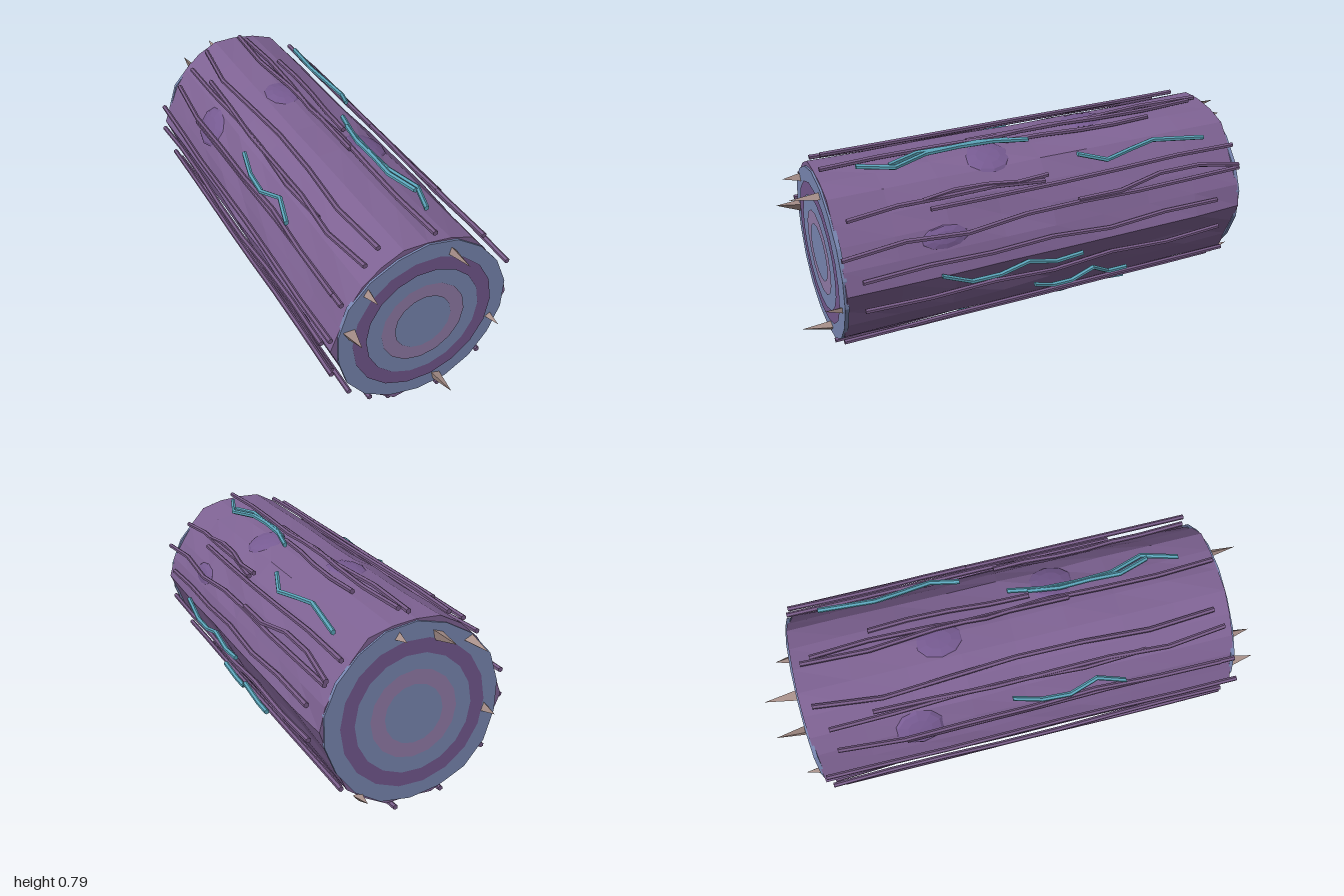
import * as THREE from 'three';

const CY = 0.393;          // height of the log's axis
const HALF = 0.865;        // half length of the bark
const COLORS = { bark: 0x7f6394, strip: 0x785c88, vine: 0x5aa3b8, wood: 0x7987b2, ring: 0x74598f, innerRing: 0x927ca9, knot: 0x775b92, splinter: 0xa8908a };

const mats = {};
for (const k in COLORS) mats[k] = new THREE.MeshStandardMaterial({ color: COLORS[k], flatShading: true });

// small seeded random in -1..1
let seed = 7;
const rnd = () => {
  seed = (seed * 16807) % 2147483647;
  return (seed / 2147483647) * 2 - 1;
};

function add(parent, name, geometry, material) {
  const mesh = new THREE.Mesh(geometry, material);
  mesh.name = name;
  parent.add(mesh);
  return mesh;
}

// Cylinder along z whose vertices are moved by rule(vertex, section index)
function shapedBar(radius, length, sides, sections, rule) {
  const g = new THREE.CylinderGeometry(radius, radius, length, sides, sections).rotateX(Math.PI / 2);
  const p = g.attributes.position;
  const v = new THREE.Vector3();
  for (let i = 0; i < p.count; i++) {
    v.fromBufferAttribute(p, i);
    rule(v, Math.round((v.z / length + 0.5) * sections));
    p.setXYZ(i, v.x, v.y, v.z);
  }
  g.computeVertexNormals();
  return g;
}

// Bark: uneven radii every 15 degrees, varied a little along the length
const RADII = [0.37, 0.35, 0.343, 0.351, 0.366, 0.36, 0.362, 0.366, 0.358, 0.353, 0.347, 0.347,
  0.368, 0.35, 0.34, 0.344, 0.35, 0.368, 0.345, 0.367, 0.353, 0.358, 0.346, 0.344];
function makeBark() {
  const sides = RADII.length, sections = 8;
  const noise = Array.from({ length: (sections + 1) * sides }, () => rnd() * 0.006);
  return shapedBar(1, HALF * 2, sides, sections, (v, s) => {
    if (Math.hypot(v.x, v.y) < 0.5) return;
    const k = (Math.round(Math.atan2(v.y, v.x) / (Math.PI * 2) * sides) + sides) % sides;
    const r = RADII[k] + noise[s * sides + k];
    v.x *= r;
    v.y *= r;
  });
}

// Strip lying on the bark; offsets shift each section sideways around the log
function makeStrip(x, y, z0, z1, offsets, radius) {
  const a = Math.atan2(y - CY, x);
  const g = shapedBar(radius, z1 - z0, 6, offsets.length - 1, (v, s) => {
    v.x += x - Math.sin(a) * offsets[s];
    v.y += y + Math.cos(a) * offsets[s];
  });
  return g.translate(0, 0, (z0 + z1) / 2);
}

export function createModel() {
  seed = 7;
  const model = new THREE.Group();
  model.name = 'log';

  add(model, 'bark', makeBark(), mats.bark).position.y = CY;

  // Cut ends with growth rings
  for (const side of [1, -1]) {
    const end = new THREE.Group();
    end.name = side > 0 ? 'frontEnd' : 'backEnd';
    end.position.set(0, CY, side * HALF);
    if (side < 0) end.rotation.y = Math.PI;
    const disc = shapedBar(0.352, 0.016, 18, 1, (v) => {
      const k = 1 + 0.012 * Math.sin(Math.atan2(v.y, v.x) * 5 + side);
      v.x *= k;
      v.y *= k;
    });
    add(end, 'cutFace', disc, mats.wood);
    add(end, 'outerRing', new THREE.RingGeometry(0.235, 0.291, 18), mats.ring).position.z = 0.011;
    add(end, 'innerRing', new THREE.RingGeometry(0.117, 0.174, 16), mats.innerRing).position.z = 0.011;
    model.add(end);
  }

  // Bark strips: x, y, z from, z to, sideways wander
  const strips = [
    [0.015, 0.769, -0.83, 0.25, 0.016], [0.035, 0.768, -0.79, 0.85, 0.016], [0.085, 0.757, -0.55, 0.1, 0.012],
    [-0.17, 0.73, -0.82, 0.8, 0.02], [-0.235, 0.695, -0.6, 0.83, 0.015], [-0.25, 0.68, -0.78, 0.5, 0.02],
    [-0.322, 0.605, -0.77, 0.8, 0.02], [-0.33, 0.588, -0.5, 0.86, 0.015],
    [-0.376, 0.48, -0.85, 0.88, 0.03], [-0.386, 0.393, -0.84, 0.82, 0.02], [-0.363, 0.275, -0.8, 0.85, 0.025],
    [-0.305, 0.165, -0.85, 0.75, 0.022], [-0.282, 0.135, -0.7, 0.85, 0.018], [-0.215, 0.087, -0.8, 0.86, 0.025],
    [-0.12, 0.034, -0.86, 0.85, 0.025], [0.015, 0.02, -0.8, 0.84, 0.018], [0.08, 0.026, -0.88, 0.87, 0.018],
    [0.275, 0.142, -0.86, 0.87, 0.014], [0.25, 0.118, -0.8, 0.6, 0.012], [0.36, 0.305, -0.77, 0.8, 0.015],
    [0.362, 0.44, -0.75, 0.8, 0.012], [0.348, 0.555, -0.86, 0.87, 0.018], [0.33, 0.592, -0.86, -0.1, 0.02],
    [0.268, 0.66, 0.02, 0.82, 0.014], [0.25, 0.68, 0, 0.52, 0.02], [0.278, 0.65, -0.86, 0.5, 0.014],
  ];
  for (const [x, y, z0, z1, w] of strips) {
    const n = Math.max(4, Math.round((z1 - z0) * 4));
    const offsets = Array.from({ length: n + 1 }, () => rnd() * w);
    add(model, 'barkStrip', makeStrip(x, y, z0, z1, offsets, 0.0105), mats.strip);
  }

  // Teal vines: x, y, z from, z to, sideways offsets
  const vines = [
    [0.385, 0.373, -0.1, 0.5, [-0.015, -0.025, 0.005, -0.025, -0.025, 0.03]],
    [0.355, 0.235, -0.33, 0.1, [-0.025, -0.025, 0.033, -0.025, -0.025, 0.01]],
    [0.24, 0.7, -0.73, -0.15, [-0.012, 0.005, 0.022, 0, -0.025, 0.025]],
    [0.09, 0.772, 0.02, 0.72, [-0.022, 0.008, 0.014, 0.008, -0.04, 0.008]],
    [0.08, 0.774, 0.1, 0.6, [-0.01, 0.01, 0.006, 0.012, -0.03]],
    [-0.31, 0.64, -0.06, 0.4, [-0.025, 0.012, 0.02, -0.025, 0.018]],
    [0.11, 0.02, -0.44, 0.33, [0.03, -0.01, 0.02, -0.03, 0.01, -0.02]],
    [-0.125, 0.022, -0.35, 0.3, [0.02, -0.02, 0.01, -0.015, 0.02]],
  ];
  for (const [x, y, z0, z1, offsets] of vines) {
    add(model, 'vine', makeStrip(x, y, z0, z1, offsets, 0.0105), mats.vine);
  }

  // Flattened knots: angle in degrees, z, distance from the axis, half width, half length
  const knots = [[93, -0.29, 0.352, 0.075, 0.105], [70, 0.2, 0.354, 0.085, 0.1], [148, -0.44, 0.342, 0.085, 0.1], [23, 0.46, 0.342, 0.05, 0.105]];
  for (const [deg, z, r, w, l] of knots) {
    const a = THREE.MathUtils.degToRad(deg);
    const knot = add(model, 'knot', new THREE.SphereGeometry(1, 10, 6), mats.knot);
    knot.position.set(Math.cos(a) * r, CY + Math.sin(a) * r, z);
    knot.rotation.z = a - Math.PI / 2;
    knot.scale.set(w, 0.017, l);
  }

  // Splinters on both ends: x, y, tip z, radius, lean of the tip in y
  const splinters = [
    [-0.305, 0.465, 0.97, 0.03, 0.02], [0.1, 0.69, 0.985, 0.02, 0.01], [0.295, 0.305, 0.94, 0.017, 0.01],
    [0.075, 0.095, 0.99, 0.024, 0.02], [-0.235, 0.62, 0.945, 0.022, 0.005],
    [-0.3, 0.355, -0.94, 0.024, 0], [-0.215, 0.64, -0.99, 0.024, 0], [-0.08, 0.69, -1, 0.026, 0.01],
    [0.07, 0.7, -0.93, 0.022, 0], [0.21, 0.105, -0.94, 0.02, 0.015],
  ];
  splinters.forEach(([x, y, tip, r, lean], i) => {
    const side = Math.sign(tip);
    const length = Math.abs(tip) - 0.86;
    const g = new THREE.ConeGeometry(r, length, 3).rotateY(i * 1.3).rotateX(side * Math.PI / 2);
    const shear = new THREE.Matrix4().set(1, 0, 0, 0, 0, 1, side * lean / length, 0, 0, 0, 1, 0, 0, 0, 0, 1);
    add(model, 'splinter', g.applyMatrix4(shear), mats.splinter).position.set(x, y, side * (0.86 + length / 2));
  });

  return model;
}
